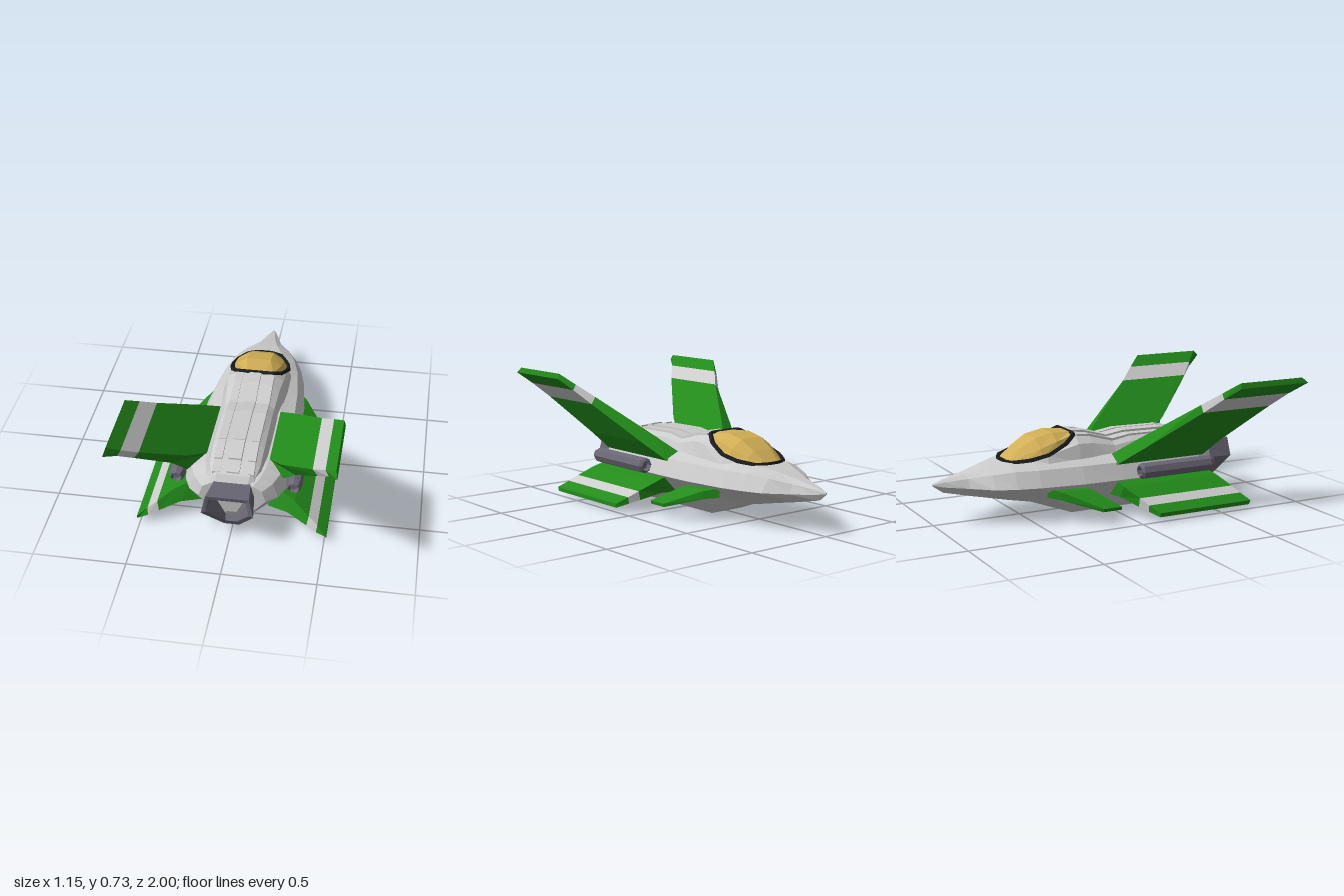
import * as THREE from 'three';

const mat = (color, extra = {}) => new THREE.MeshStandardMaterial({ color, flatShading: true, ...extra });
const grey = mat(0xcccccc), green = mat(0x228b1a), gold = mat(0xd0ae55);
const black = mat(0x1c1c20), steel = mat(0x6a6775), steelOpen = mat(0x6a6775, { side: THREE.DoubleSide });

// Skin a list of equal-length closed rings of [x, y, z]; faces always end up pointing outward
function loft(rings, caps = true) {
  const tris = [];
  const n = rings[0].length;
  for (let i = 0; i < rings.length - 1; i++) {
    for (let j = 0; j < n; j++) {
      const k = (j + 1) % n, A = rings[i], B = rings[i + 1];
      tris.push([A[j], A[k], B[k]], [A[j], B[k], B[j]]);
    }
  }
  const cap = (ring, flip) => {
    const c = [0, 1, 2].map(a => ring.reduce((s, p) => s + p[a], 0) / n);
    ring.forEach((p, j) => {
      const q = ring[(j + 1) % n];
      tris.push(flip ? [c, q, p] : [c, p, q]);
    });
  };
  if (caps) {
    cap(rings[0], true);
    cap(rings[rings.length - 1], false);
  }
  let volume = 0;
  for (const [a, b, c] of tris) {
    volume += new THREE.Vector3(...a).dot(new THREE.Vector3(...b).cross(new THREE.Vector3(...c)));
  }
  if (volume < 0) tris.forEach(t => t.reverse());
  const geo = new THREE.BufferGeometry();
  geo.setAttribute('position', new THREE.Float32BufferAttribute(tris.flat(2), 3));
  geo.computeVertexNormals();
  return geo;
}

// Complete a ring from its +x half
const mirror = half => [...half, ...half.map(([x, y, z]) => [-x, y, z]).reverse()];
// Section at depth z from [x, y] points of the +x half
const section = ([z, ...pts]) => mirror(pts.map(([x, y]) => [x, y, z]));

export function createModel() {
  const model = new THREE.Group();
  const add = (name, geo, material, parent = model) => {
    const mesh = new THREE.Mesh(geo, material);
    mesh.name = name;
    parent.add(mesh);
    return mesh;
  };

  // Hull: flat keel, chine, shoulder and deck
  add('hull', loft([
    [-1, [0.002, 0.217], [0.004, 0.22], [0.004, 0.223], [0.002, 0.226]],
    [-0.945, [0.012, 0.178], [0.03, 0.21], [0.024, 0.235], [0.01, 0.245]],
    [-0.82, [0.04, 0.153], [0.085, 0.2], [0.065, 0.25], [0.03, 0.272]],
    [-0.71, [0.07, 0.134], [0.18, 0.2], [0.13, 0.27], [0.06, 0.298]],
    [-0.6, [0.09, 0.113], [0.222, 0.2], [0.175, 0.285], [0.1, 0.318]],
    [-0.475, [0.1, 0.09], [0.252, 0.2], [0.21, 0.287], [0.15, 0.32]],
    [-0.23, [0.105, 0], [0.283, 0.2], [0.24, 0.29], [0.17, 0.322]],
    [0, [0.105, 0], [0.29, 0.2], [0.25, 0.29], [0.17, 0.322]],
    [0.38, [0.105, 0], [0.29, 0.2], [0.25, 0.29], [0.17, 0.322]],
    [0.5, [0.105, 0.035], [0.275, 0.2], [0.24, 0.29], [0.165, 0.325]],
    [0.58, [0.1, 0.065], [0.24, 0.2], [0.21, 0.285], [0.145, 0.32]],
    [0.63, [0.09, 0.1], [0.18, 0.2], [0.16, 0.265], [0.11, 0.295]],
  ].map(section)), grey);

  // Raised spine behind the cockpit
  add('spine', loft([
    [-0.6, [0.12, 0.29], [0.09, 0.305], [0.05, 0.31]],
    [-0.4, [0.185, 0.3], [0.16, 0.35], [0.09, 0.365]],
    [-0.21, [0.19, 0.3], [0.16, 0.395], [0.1, 0.44]],
    [-0.12, [0.185, 0.3], [0.15, 0.39], [0.1, 0.43]],
    [0.02, [0.17, 0.3], [0.14, 0.36], [0.1, 0.39]],
    [0.13, [0.17, 0.3], [0.14, 0.375], [0.105, 0.405]],
    [0.4, [0.165, 0.3], [0.14, 0.375], [0.105, 0.4]],
    [0.53, [0.155, 0.28], [0.135, 0.345], [0.1, 0.37]],
    [0.6, [0.13, 0.27], [0.115, 0.315], [0.09, 0.335]],
    [0.635, [0.12, 0.25], [0.105, 0.27], [0.08, 0.285]],
  ].map(section)), grey);

  // Plates laid along the spine: one in the middle, one on each side
  const plateRuns = [
    [[-0.2, 0.447], [-0.12, 0.44], [0.02, 0.4], [0.13, 0.416], [0.385, 0.412]],
    [[0.395, 0.416], [0.52, 0.386]],
    [[0.525, 0.38], [0.59, 0.348]],
  ];
  for (const [a, b, drop] of [[-0.038, 0.038, 0], [0.065, 0.115, 0.006], [-0.115, -0.065, 0.006]]) {
    for (const run of plateRuns) {
      add('spinePlate', loft(run.map(([z, y]) => [
        [a, y - 0.045, z], [b, y - 0.045, z], [b - 0.004, y - drop, z], [a + 0.004, y - drop, z],
      ])), grey);
    }
  }

  // Cockpit glass and its dark frame
  add('canopy', loft([
    [-0.215, [0.13, 0.38], [0.1, 0.435], [0.05, 0.446]],
    [-0.33, [0.152, 0.36], [0.13, 0.415], [0.07, 0.452]],
    [-0.43, [0.16, 0.34], [0.135, 0.385], [0.07, 0.432]],
    [-0.52, [0.13, 0.32], [0.105, 0.35], [0.06, 0.38]],
    [-0.59, [0.09, 0.305], [0.075, 0.315], [0.04, 0.325]],
  ].map(section)), gold);

  const rim = mirror([
    [0.1, 0.44, -0.213], [0.142, 0.4, -0.28], [0.166, 0.355, -0.39],
    [0.148, 0.332, -0.49], [0.1, 0.318, -0.58], [0.04, 0.318, -0.603],
  ]).map(p => new THREE.Vector3(...p));
  const rimPath = new THREE.CurvePath();
  rim.forEach((p, i) => rimPath.add(new THREE.LineCurve3(p, rim[(i + 1) % rim.length])));
  add('canopyFrame', new THREE.TubeGeometry(rimPath, 72, 0.014, 4, true), black);

  // Engine nozzle with a slanted rim, and the plate inside it
  const base = mirror([[0.045, 0.065, 0.57], [0.115, 0.22, 0.59], [0.095, 0.295, 0.59]]);
  const outer = mirror([[0.04, 0.035, 0.645], [0.138, 0.22, 0.79], [0.115, 0.325, 0.78]]);
  const lip = mirror([[0.03, 0.068, 0.66], [0.114, 0.225, 0.785], [0.098, 0.302, 0.775]]);
  const throat = mirror([[0.035, 0.095, 0.632], [0.095, 0.22, 0.64], [0.07, 0.285, 0.64]]);
  add('nozzle', loft([base, outer, lip, throat, base], false), steel);
  add('thrustPlate', loft([
    throat,
    throat.map(([x, y, z]) => [x * 0.75, 0.2 + (y - 0.2) * 0.75, z + 0.012]),
  ]), grey);

  // Wing stations run root to tip: [upper x, y], [lower x, y], leading z, trailing z upper, trailing z lower
  const upperWing = [
    [[0.16, 0.31], [0.26, 0.28], -0.03, 0.4, 0.52],
    [[0.25, 0.405], [0.33, 0.37], 0.1, 0.56, 0.59],
    [[0.44, 0.605], [0.466, 0.566], 0.39, 0.82, 0.82],
    [[0.51, 0.672], [0.528, 0.642], 0.48, 0.9, 0.91],
    [[0.567, 0.73], [0.576, 0.7], 0.56, 0.965, 1],
  ];
  const lowerWing = [
    [[0.25, 0.205], [0.18, 0.1], -0.04, 0.53, 0.54],
    [[0.33, 0.172], [0.29, 0.105], -0.025, 0.57, 0.585],
    [[0.41, 0.12], [0.4, 0.07], 0.03, 0.62, 0.635],
    [[0.46, 0.088], [0.455, 0.052], 0.06, 0.645, 0.66],
    [[0.512, 0.052], [0.512, 0.03], 0.1, 0.68, 0.67],
  ];
  const canard = [
    [[0.22, 0.185], [0.22, 0.135], -0.43, -0.26, -0.26],
    [[0.28, 0.17], [0.28, 0.125], -0.37, -0.2, -0.2],
    [[0.412, 0.088], [0.408, 0.07], -0.19, -0.08, -0.08],
  ];

  for (const side of [1, -1]) {
    const label = side > 0 ? 'left' : 'right';
    const ring = ([[ux, uy], [lx, ly], lead, tu, tl]) => [
      [side * ux, uy, lead], [side * ux, uy, tu], [side * lx, ly, tl], [side * lx, ly, lead],
    ];
    const wing = (name, stations) => {
      const group = new THREE.Group();
      group.name = label + name;
      const rings = stations.map(ring);
      add('innerPanel', loft(rings.slice(0, 3)), green, group);
      if (rings.length > 3) {
        add('stripe', loft(rings.slice(2, 4)), grey, group);
        add('tip', loft(rings.slice(3, 5)), green, group);
      }
      model.add(group);
    };
    wing('UpperWing', upperWing);
    wing('LowerWing', lowerWing);
    wing('Canard', canard);

    // Gun pod with hollow ends, lying along the hull side
    const profile = [[0, 0.11], [0.026, 0.11], [0.03, 0.08], [0.044, 0.095], [0.044, 0.52], [0.03, 0.55], [0.022, 0.53], [0, 0.53]];
    const podGeo = new THREE.LatheGeometry(profile.map(p => new THREE.Vector2(...p)), 8);
    podGeo.rotateX(Math.PI / 2);
    add(label + 'GunPod', podGeo, steelOpen).position.set(side * 0.317, 0.243, 0);
  }
  return model;
}
